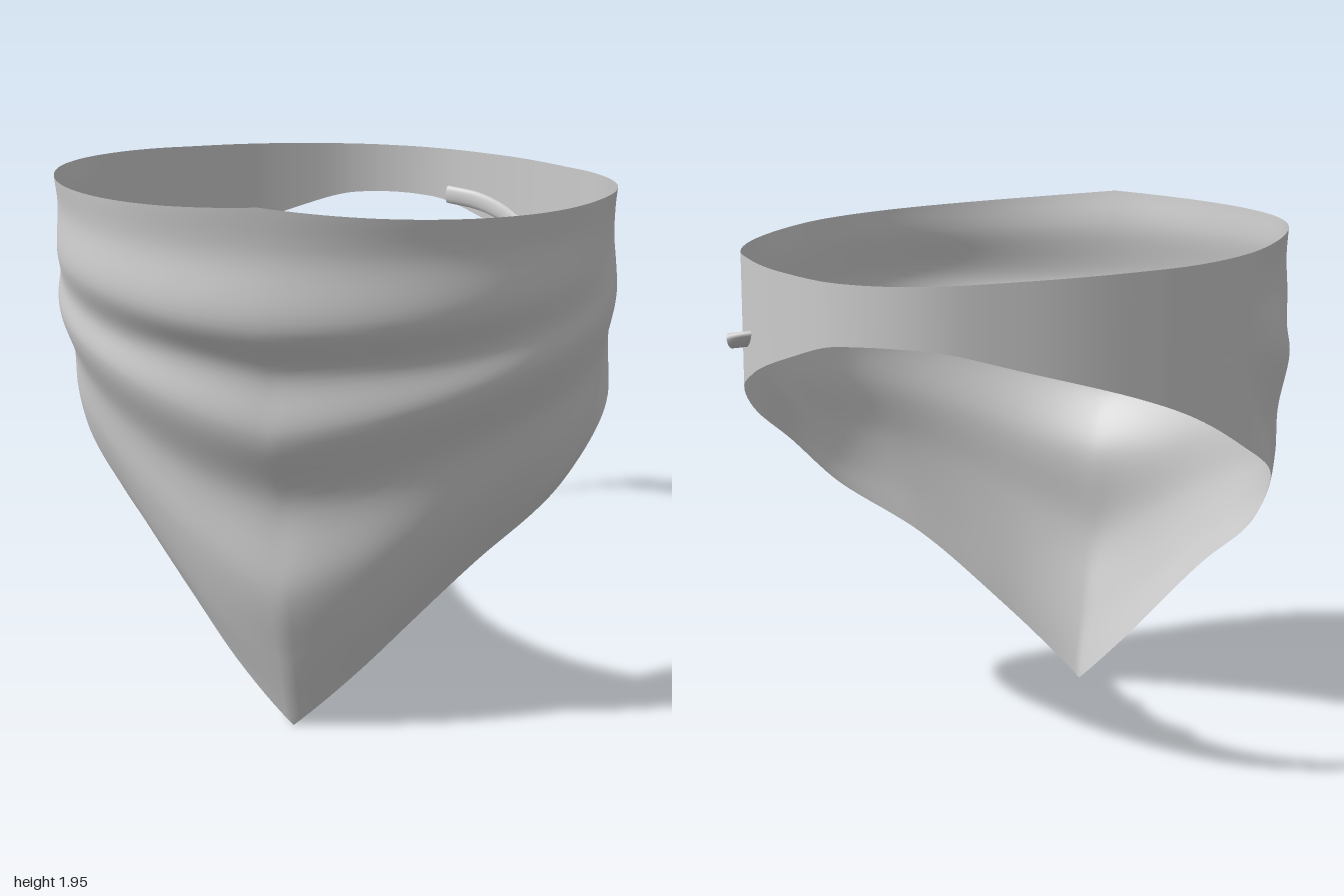
import * as THREE from 'three';

const material = new THREE.MeshStandardMaterial({ color: 0xcccccc, side: THREE.DoubleSide });
const V = (x, y, z) => new THREE.Vector3(x, y, z);

// Front half profiles: angle from the front, then [radius, height] from the rim down to the hem
const frontProfiles = [
  [0, [.985, 1.95], [.97, 1.8], [.992, 1.57], [.9, 1.39], [.907, 1.18], [.785, .9], [.797, .57], [.73, .3], [.64, 0]],
  [18, [.985, 1.925], [.97, 1.79], [.99, 1.58], [.907, 1.42], [.917, 1.24], [.8, .96], [.79, .68], [.725, .42], [.632, .19]],
  [37, [.98, 1.9], [.97, 1.78], [.988, 1.6], [.925, 1.44], [.94, 1.31], [.84, 1.06], [.81, .82], [.74, .59], [.645, .39]],
  [56, [.975, 1.875], [.965, 1.77], [.98, 1.61], [.955, 1.48], [.967, 1.37], [.89, 1.15], [.86, .95], [.8, .77], [.72, .6]],
  [77, [.965, 1.845], [.96, 1.75], [.965, 1.62], [.97, 1.52], [.982, 1.42], [.945, 1.22], [.94, 1.06], [.915, .92], [.868, .82]],
  [90, [.965, 1.82], [.955, 1.74], [.957, 1.64], [.975, 1.55], [.985, 1.45], [.958, 1.28], [.95, 1.18], [.957, 1.1], [.965, 1.03]],
];

// Back band: angle, radius, top height, bottom height
const backBand = [
  [105, .972, 1.79, 1.165],
  [120, .965, 1.765, 1.29],
  [132, .942, 1.75, 1.36],
  [154.5, .953, 1.727, 1.455],
  [168.4, .988, 1.714, 1.51],
  [175, .998, 1.711, 1.518],
  [180, 1, 1.71, 1.52],
];

// Draped cloth: profiles lofted around one half, then mirrored
function makeCloth() {
  const rows = 64, half = 96;
  const rad = THREE.MathUtils.degToRad;
  const stations = frontProfiles.map(([deg, ...pts]) => pts.map(([r, y]) => V(r, y, rad(deg))));
  for (const [deg, r, top, bottom] of backBand) {
    stations.push(Array.from({ length: 9 }, (_, i) => V(r, THREE.MathUtils.lerp(top, bottom, i / 8), rad(deg))));
  }
  const curves = stations.map((pts) => new THREE.CatmullRomCurve3(pts));
  const loft = [];
  for (let j = 0; j <= rows; j++) {
    const around = new THREE.CatmullRomCurve3(curves.map((c) => c.getPoint(j / rows)));
    loft.push(Array.from({ length: half + 1 }, (_, i) => around.getPoint(i / half)));
  }
  const cols = half * 2, positions = [], index = [];
  for (let k = 0; k < cols; k++) {
    for (let j = 0; j <= rows; j++) {
      const p = loft[j][k <= half ? k : cols - k];
      const side = k <= half ? 1 : -1;
      positions.push(side * p.x * Math.sin(p.z), p.y, p.x * Math.cos(p.z));
      if (j < rows) {
        const a = k * (rows + 1) + j, c = ((k + 1) % cols) * (rows + 1) + j;
        index.push(a, a + 1, c, c, a + 1, c + 1);
      }
    }
  }
  return surface('scarfCloth', positions, index);
}

// Knot end: an oval section swept along a path, with size given by a rule
function makeStrand(name, points, sizeAt, tilt) {
  const curve = new THREE.CatmullRomCurve3(points);
  const steps = 16, sides = 12, positions = [], index = [];
  for (let i = 0; i <= steps; i++) {
    const t = i / steps, p = curve.getPoint(t), dir = curve.getTangent(t);
    const across = V(0, 1, 0).cross(dir).normalize().applyAxisAngle(dir, tilt);
    const up = dir.clone().cross(across).normalize();
    const [w, h] = sizeAt(t);
    for (let s = 0; s < sides; s++) {
      const a = (s / sides) * Math.PI * 2;
      const q = p.clone().addScaledVector(across, w * Math.cos(a)).addScaledVector(up, h * Math.sin(a));
      positions.push(q.x, q.y, q.z);
      if (i < steps) {
        const n = (s + 1) % sides, b = i * sides;
        index.push(b + s, b + n, b + sides + s, b + n, b + sides + n, b + sides + s);
      }
    }
  }
  return surface(name, positions, index);
}

function surface(name, positions, index) {
  const geometry = new THREE.BufferGeometry();
  geometry.setAttribute('position', new THREE.Float32BufferAttribute(positions, 3));
  geometry.setIndex(index);
  geometry.computeVertexNormals();
  const mesh = new THREE.Mesh(geometry, material);
  mesh.name = name;
  return mesh;
}

export function createModel() {
  const group = new THREE.Group();
  group.name = 'neckScarf';
  group.add(makeCloth());

  // Loose strip inside the back of the band
  group.add(makeStrand('innerKnotEnd',
    [V(.25, 1.57, -.81), V(.38, 1.565, -.75), V(.49, 1.55, -.65), V(.57, 1.54, -.52)],
    () => [.014, .035], 0));

  // Short tail poking out through the band
  group.add(makeStrand('outerKnotEnd',
    [V(.63, 1.48, -.545), V(.72, 1.475, -.575), V(.81, 1.465, -.605)],
    (t) => [.022 + .03 * Math.sin(Math.PI * Math.min(1, t * .8)), .012 + .012 * t], .5));

  return group;
}
